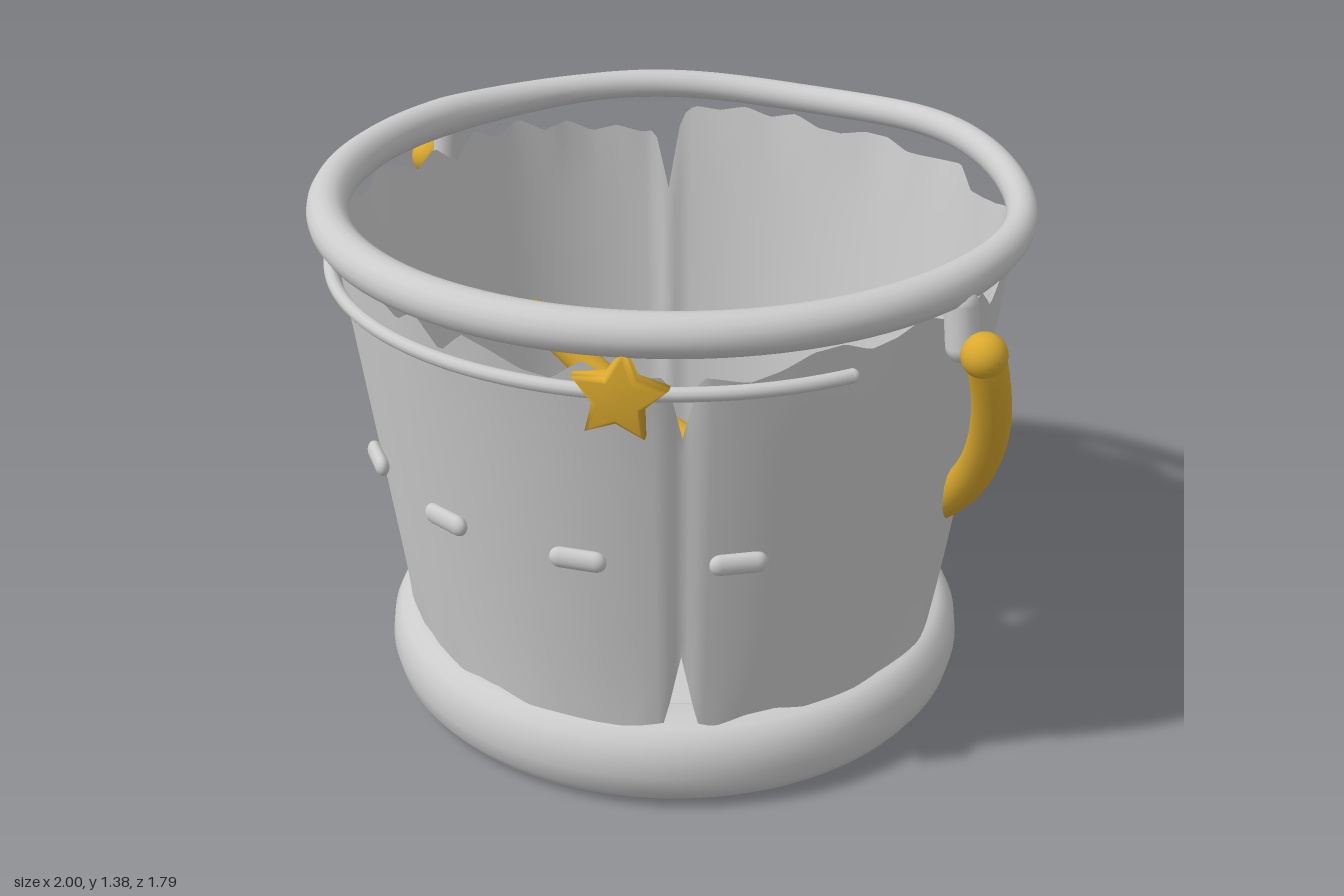
import * as THREE from 'three';
import { mergeVertices } from 'three/addons/utils/BufferGeometryUtils.js';

const grey = new THREE.MeshStandardMaterial({ color: 0xcccccc, side: THREE.DoubleSide });
grey.name = 'pale grey';
const gold = new THREE.MeshStandardMaterial({ color: 0xdaa92e });
gold.name = 'gold';

function add(parent, name, geometry, material) {
  const mesh = new THREE.Mesh(geometry, material);
  mesh.name = name;
  parent.add(mesh);
  return mesh;
}

// Moves every vertex by a rule, welds the seams and renews smooth normals.
function reshape(geometry, rule) {
  geometry.deleteAttribute('uv');
  geometry.deleteAttribute('normal');
  const g = mergeVertices(geometry, 1e-4);
  const p = g.attributes.position;
  const v = new THREE.Vector3();
  for (let i = 0; i < p.count; i++) {
    rule(v.fromBufferAttribute(p, i));
    p.setXYZ(i, v.x, v.y, v.z);
  }
  g.computeVertexNormals();
  return g;
}

// Repeatable ragged noise around the circle, 0 to 1.
const hash = (n) => { const s = Math.sin(n * 127.1 + 11.7) * 43758.5453; return s - Math.floor(s); };
function ragged(a, count, seed) {
  const t = ((a / (2 * Math.PI)) % 1 + 1) % 1 * count;
  const i = Math.floor(t), f = t - i;
  return hash(i + seed) * (1 - f) + hash((i + 1) % count + seed) * f;
}

// 1 at each of the four diagonal splits, falling to 0 at the given half width.
function split(a, halfWidth) {
  const q = Math.PI / 2;
  const d = Math.abs(((a % q) + q) % q - q / 2);
  return Math.max(0, 1 - d / halfWidth);
}

// Tapered thin wall with torn top and bottom edges.
function wallGeometry() {
  const g = new THREE.CylinderGeometry(1, 1, 1, 320, 12, true);
  return reshape(g, (v) => {
    const a = Math.atan2(v.x, v.z);
    const t = v.y + 0.5;
    const top = 1.285 - 0.085 * ragged(a, 72, 3) - 0.17 * split(a, 0.045);
    const bottom = 0.215 + 0.03 * ragged(a, 56, 200) + 0.19 * split(a, 0.055);
    const y = bottom + (top - bottom) * t;
    const edge = Math.pow(Math.abs(2 * t - 1), 6);
    const fold = 0.014 * edge * (ragged(a, 48, 90) - 0.5) - 0.012 * split(a, 0.06);
    const r = 0.70 + (y - 0.22) * 0.136 + fold;
    v.set(Math.sin(a) * r, y, Math.cos(a) * r);
  });
}

// Rounded hoop, thinner and a little uneven toward the back.
function rimGeometry() {
  const R = 0.852;
  const g = new THREE.TorusGeometry(R, 0.051, 16, 128);
  g.rotateX(Math.PI / 2);
  return reshape(g, (v) => {
    const a = Math.atan2(v.x, v.z);
    const back = Math.max(0, -Math.cos(a));
    const s = 1 - 0.25 * Math.min(1, back * 2);
    const r = R + (Math.hypot(v.x, v.z) - R) * s;
    v.set(Math.sin(a) * r, 1.331 + v.y * s + 0.012 * back * Math.sin(a * 5), Math.cos(a) * r);
  });
}

// Chunky base with a shallow inner floor.
function baseGeometry() {
  const profile = [[0, 0.005], [0.62, 0.005], [0.69, 0.008], [0.725, 0.025], [0.75, 0.06], [0.762, 0.11],
    [0.756, 0.16], [0.738, 0.198], [0.71, 0.219], [0.67, 0.226], [0.61, 0.224], [0.59, 0.212], [0.575, 0.205], [0, 0.205]]
    .map(([r, y]) => new THREE.Vector2(r, y));
  return new THREE.LatheGeometry(profile, 96);
}

// Puffy five-pointed star, thickest in the middle.
function starGeometry() {
  const shape = new THREE.Shape();
  for (let i = 0; i < 10; i++) {
    const r = i % 2 ? 0.046 : 0.096;
    const a = Math.PI / 2 + i * Math.PI / 5;
    shape[i ? 'lineTo' : 'moveTo'](Math.cos(a) * r, Math.sin(a) * r);
  }
  shape.closePath();
  const g = new THREE.ExtrudeGeometry(shape, {
    depth: 0.03, bevelEnabled: true, bevelThickness: 0.018, bevelSize: 0.012, bevelSegments: 4,
  });
  g.translate(0, 0, -0.015);
  return reshape(g, (v) => { v.z *= 1.15 - 4.5 * Math.hypot(v.x, v.y); });
}

class ArcCurve extends THREE.Curve {
  constructor(at) { super(); this.at = at; }
  getPoint(t, target = new THREE.Vector3()) { return target.set(...this.at(t)); }
}

export function createModel() {
  const model = new THREE.Group();
  model.name = 'bucket';

  add(model, 'base', baseGeometry(), grey);
  add(model, 'wall', wallGeometry(), grey);
  add(model, 'rim', rimGeometry(), grey);

  // Handle lies swung back and down, passing through the wall
  const handle = new THREE.Group();
  handle.name = 'handle';
  model.add(handle);
  const swing = new ArcCurve((t) => {
    const a = Math.PI * t, f = Math.sin(a);
    return [0.95 * Math.cos(a), 1.19 - 0.82 * f, -0.01 - 0.345 * f];
  });
  add(handle, 'handleBar', new THREE.TubeGeometry(swing, 80, 0.047, 14), gold);
  for (const side of [-1, 1]) {
    const end = add(handle, 'handleEnd', new THREE.SphereGeometry(0.054, 20, 14), gold);
    end.position.set(side * 0.948, 1.188, -0.01);
    // Lug hanging from the rim that holds the handle
    const lug = add(model, 'handleLug', new THREE.CapsuleGeometry(0.04, 0.1, 6, 16), grey);
    lug.position.set(side * 0.878, 1.24, -0.015);
    lug.rotation.z = side * 0.12;
  }

  // Thin band across the front, with rounded ends
  const span = 1.235;
  const band = new ArcCurve((t) => {
    const a = (2 * t - 1) * span;
    return [0.855 * Math.sin(a), 1.192, 0.855 * Math.cos(a)];
  });
  add(model, 'band', new THREE.TubeGeometry(band, 80, 0.017, 10), grey);
  for (const t of [0, 1]) {
    add(model, 'bandEnd', new THREE.SphereGeometry(0.017, 12, 8), grey).position.copy(band.getPoint(t));
  }

  // Star on the band
  const star = add(model, 'star', starGeometry(), gold);
  star.position.set(0.505, 1.19, 0.7);
  star.rotation.set(0, 0.625, -0.1, 'YXZ');

  // Row of raised stitches
  for (let i = -2; i <= 2; i++) {
    const a = i * 0.476;
    const stitch = add(model, 'stitch', new THREE.CapsuleGeometry(0.026, 0.086, 6, 14), grey);
    stitch.geometry.rotateZ(Math.PI / 2).scale(1, 1, 0.7);
    stitch.position.set(0.783 * Math.sin(a), 0.72, 0.783 * Math.cos(a));
    stitch.rotation.y = a;
  }
  return model;
}
